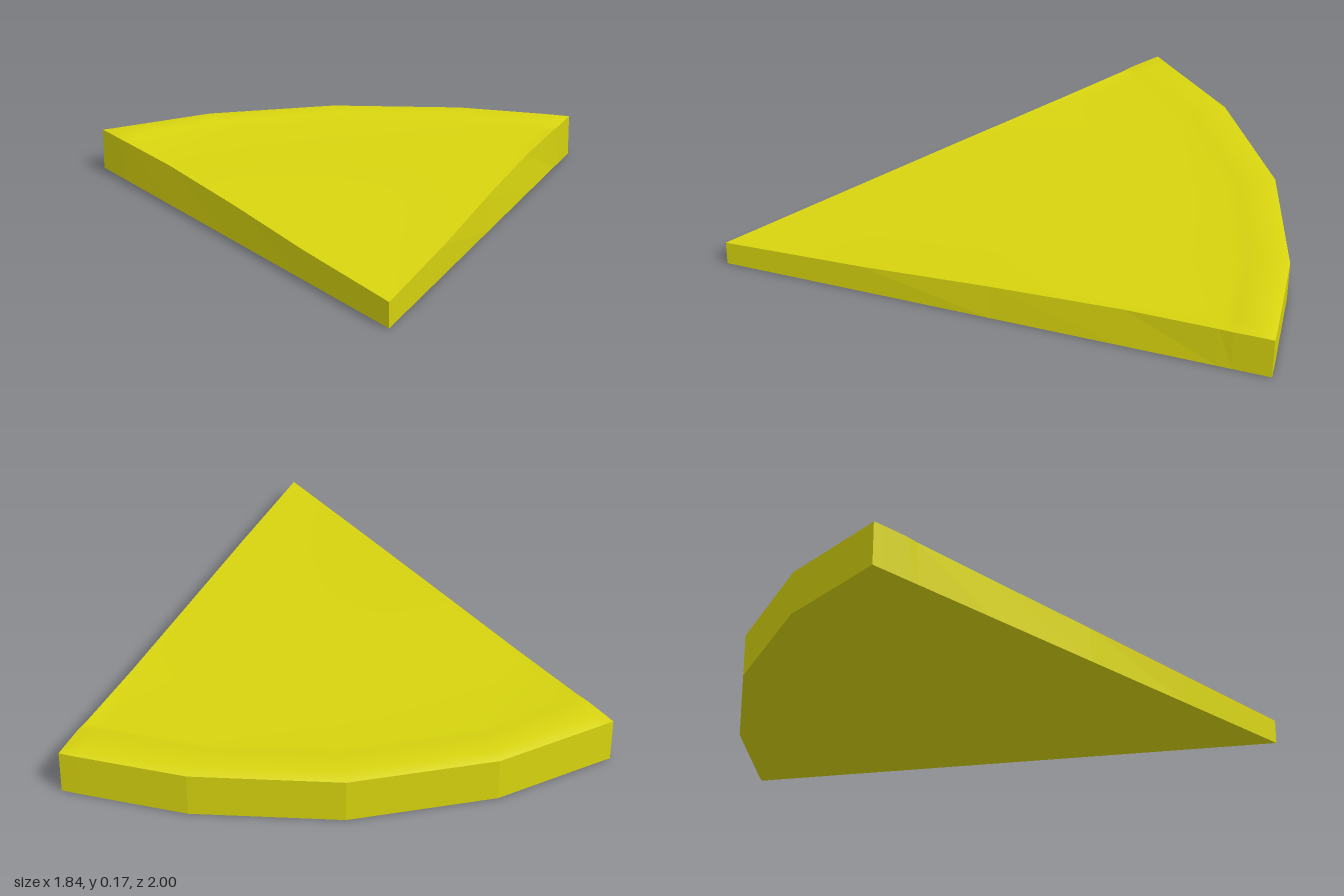
import * as THREE from 'three';

// Outer arc of the wedge as [x, z], right to left; extra points near the corners round the crust ends
const TIP = [0, 1];
const ARC = [[-0.92, -0.76], [-0.86, -0.785], [-0.51, -0.935], [0, -1], [0.51, -0.92], [0.86, -0.785], [0.92, -0.76]];
const LAST = ARC.length - 1;

// Rows from tip to rim: [fraction of radius, height inside, height at the cut side, inset of the cut side]
const ROWS = [
  [0, 0.09, 0.09, 0],
  [0.26, 0.108, 0.108, 0],
  [0.5, 0.13, 0.13, 0.008],
  [0.74, 0.145, 0.147, 0.012],
  [0.905, 0.145, 0.153, 0.004],
  [0.93, 0.166, 0.155, 0],
  [0.98, 0.168, 0.156, 0],
  [1, 0.155, 0.155, 0],
];

function topPoint(i, j) {
  const [t, inner, side, inset] = ROWS[i];
  const cut = j === 0 || j === LAST;
  const [ax, az] = ARC[j];
  const x = ax * t - (cut ? Math.sign(ax) * inset : 0);
  return [x, cut ? side : inner, TIP[1] + (az - TIP[1]) * t];
}

const floorPoint = (i, j) => {
  const t = ROWS[i][0];
  return [ARC[j][0] * t, 0, TIP[1] + (ARC[j][1] - TIP[1]) * t];
};

function meshFrom(name, positions, index, material) {
  const geometry = new THREE.BufferGeometry();
  geometry.setAttribute('position', new THREE.Float32BufferAttribute(positions, 3));
  geometry.setIndex(index);
  geometry.computeVertexNormals();
  const mesh = new THREE.Mesh(geometry, material);
  mesh.name = name;
  return mesh;
}

// Wall between a row of upper points and the matching lower points
function wall(name, upper, lower, material) {
  const index = [];
  const n = upper.length;
  for (let k = 0; k < n - 1; k++) {
    index.push(k, k + 1, n + k, k + 1, n + k + 1, n + k);
  }
  return meshFrom(name, [...upper, ...lower].flat(), index, material);
}

export function createModel() {
  const group = new THREE.Group();
  group.name = 'wedgeSlice';
  const smooth = new THREE.MeshStandardMaterial({ color: 0xd8d40f });
  const flat = new THREE.MeshStandardMaterial({ color: 0xd8d40f, flatShading: true });
  const rows = ROWS.map((_, i) => i);
  const cols = ARC.map((_, j) => j);

  // Top surface with the raised crust; the tip row collapses to one point
  const positions = [topPoint(0, 0)];
  const index = [];
  const id = (i, j) => (i === 0 ? 0 : 1 + (i - 1) * ARC.length + j);
  for (const i of rows.slice(1)) {
    for (const j of cols) {
      positions.push(topPoint(i, j));
      if (j === LAST) continue;
      index.push(id(i - 1, j), id(i, j + 1), id(i, j));
      if (i > 1) index.push(id(i - 1, j), id(i - 1, j + 1), id(i, j + 1));
    }
  }
  group.add(meshFrom('topWithCrust', positions.flat(), index, smooth));

  // Cut sides
  group.add(wall('rightCutSide', rows.map(i => topPoint(i, 0)), rows.map(i => floorPoint(i, 0)), flat));
  const back = [...rows].reverse();
  group.add(wall('leftCutSide', back.map(i => topPoint(i, LAST)), back.map(i => floorPoint(i, LAST)), flat));

  // Faceted outer rim
  const rim = rows.length - 1;
  group.add(wall('outerRim', cols.map(j => topPoint(rim, j)), cols.map(j => floorPoint(rim, j)), flat));

  // Flat underside, fanned from the tip
  const base = [floorPoint(0, 0), ...cols.map(j => floorPoint(rim, j))];
  const fan = [];
  for (let j = 1; j <= LAST; j++) fan.push(0, j, j + 1);
  group.add(meshFrom('underside', base.flat(), fan, flat));

  return group;
}
